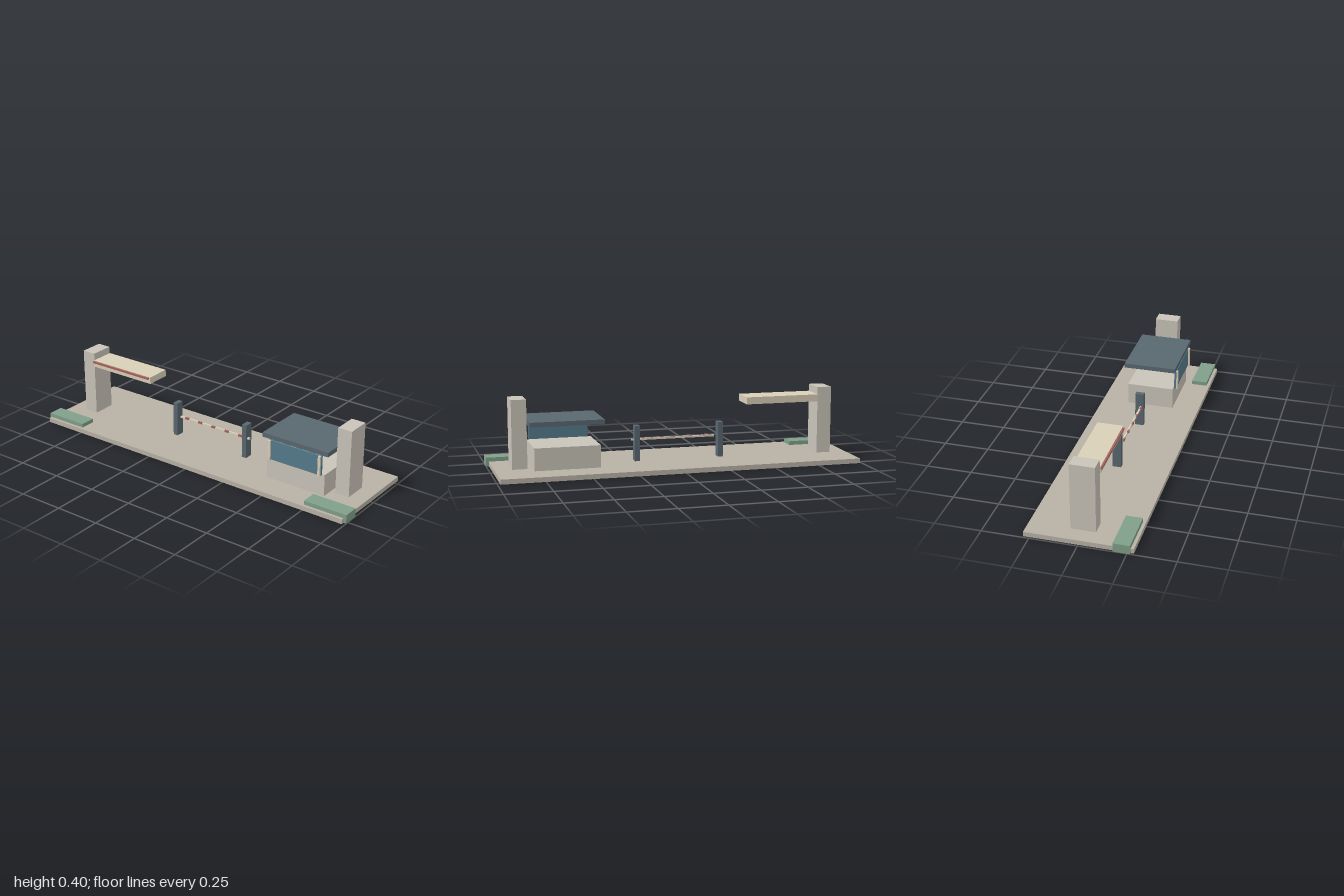
import * as THREE from 'three';

const mat = (color) => new THREE.MeshStandardMaterial({ color });

export function createModel() {
  const model = new THREE.Group();
  model.name = 'checkpoint';
  const stone = mat(0xc9c4b9), paving = mat(0xb8b1a5), green = mat(0x7f9f88);
  const slate = mat(0x59676f), glass = mat(0x557b8b), cream = mat(0xd9cfb8), red = mat(0xa8625c);

  // Box from its minimum and maximum on each axis
  const box = (name, material, [x0, x1], [y0, y1], [z0, z1], parent = model) => {
    const mesh = new THREE.Mesh(new THREE.BoxGeometry(x1 - x0, y1 - y0, z1 - z0), material);
    mesh.position.set((x0 + x1) / 2, (y0 + y1) / 2, (z0 + z1) / 2);
    mesh.name = name;
    parent.add(mesh);
    return mesh;
  };
  const group = (name) => {
    const g = new THREE.Group();
    g.name = name;
    model.add(g);
    return g;
  };

  // Ground slab and the two planters at its front corners
  box('groundSlab', paving, [-0.99, 0.985], [0, 0.026], [-0.283, 0.283]);
  box('rightPlanter', green, [-1, -0.75], [0, 0.048], [0.178, 0.266]);
  box('leftPlanter', green, [0.75, 1], [0, 0.048], [0.178, 0.266]);

  // Gate pillars
  box('rightPillar', stone, [-0.9, -0.82], [0.02, 0.397], [-0.066, 0.066]);
  box('leftPillar', stone, [0.812, 0.893], [0.02, 0.397], [-0.066, 0.066]);

  // Canopy arm with a red stripe along its front
  const canopy = group('canopy');
  box('canopyArm', cream, [-0.82, -0.405], [0.318, 0.357], [-0.069, 0.069], canopy);
  box('canopyStripe', red, [-0.82, -0.415], [0.343, 0.354], [0.069, 0.078], canopy);

  // Barrier: two posts, a boom and its red markers
  const barrier = group('barrier');
  for (const [name, x] of [['rightBarrierPost', -0.267], ['leftBarrierPost', 0.204]])
    box(name, slate, [x - 0.014, x + 0.014], [0.02, 0.22], [-0.026, 0.022], barrier);
  box('boom', cream, [-0.238, 0.232], [0.136, 0.146], [0.002, 0.012], barrier);
  for (let i = 0; i < 5; i++) {
    const x = -0.19 + i * 0.0905;
    box('boomMarker', red, [x - 0.012, x + 0.012], [0.139, 0.15], [0.008, 0.017], barrier);
  }

  // Booth: plinth, front window with frame posts, flat roof
  const booth = group('booth');
  box('boothPlinth', stone, [0.43, 0.785], [0.001, 0.147], [-0.132, 0.132], booth);
  box('boothWindow', glass, [0.447, 0.772], [0.146, 0.255], [0.137, 0.148], booth);
  for (const x of [0.457, 0.762])
    box('windowPost', cream, [x - 0.007, x + 0.007], [0.143, 0.256], [0.146, 0.157], booth);
  box('boothRoof', slate, [0.41, 0.81], [0.262, 0.287], [-0.148, 0.148], booth);

  return model;
}
